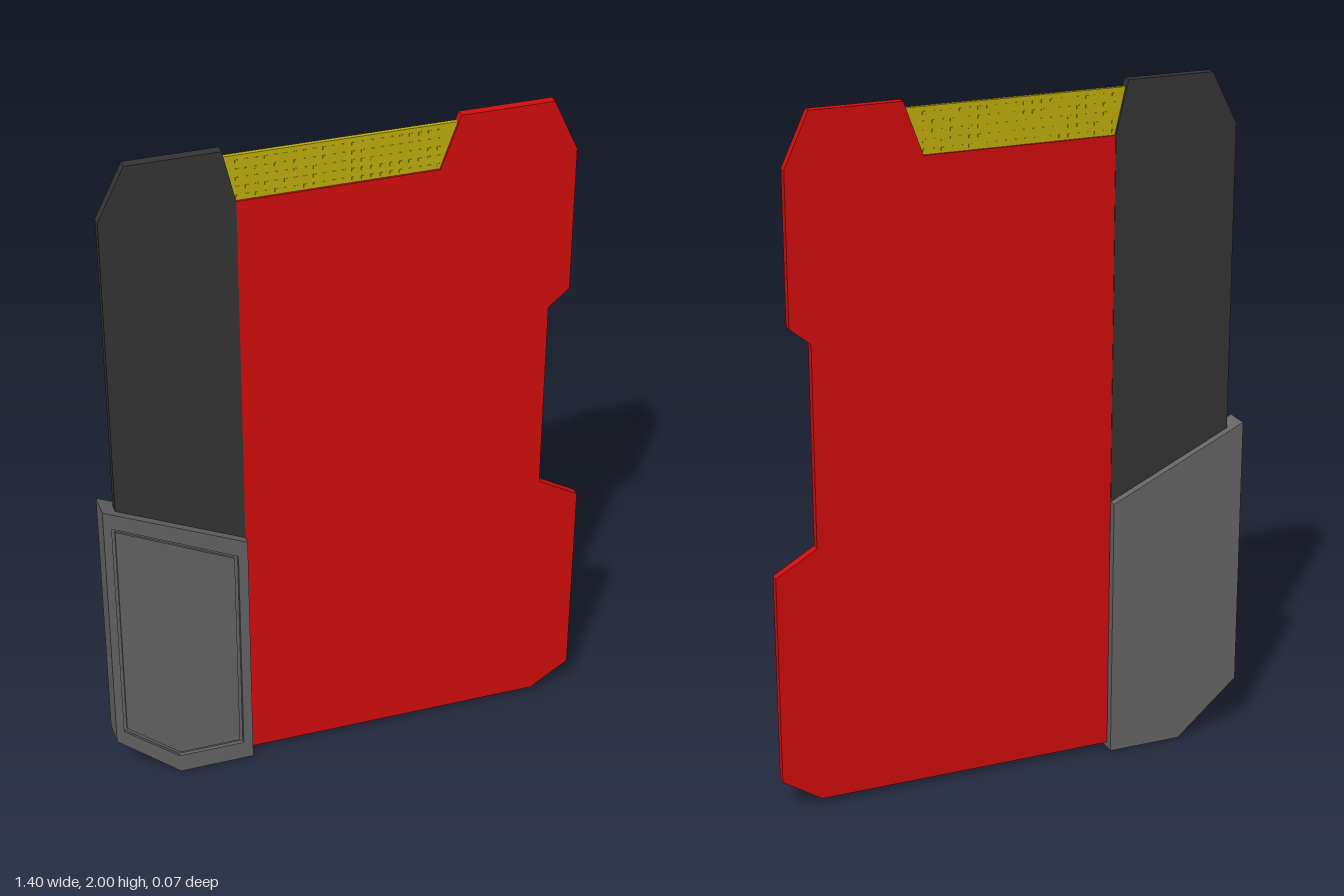
import * as THREE from 'three';
import { mergeGeometries } from 'three/addons/utils/BufferGeometryUtils.js';

const paint = (color) => new THREE.MeshStandardMaterial({ color });
const outline = (pts) => new THREE.Shape(pts.map(([x, y]) => new THREE.Vector2(x, y)));

// Flat plate cut from an outline, spanning z0..z1, with an optional hole
function plate(name, pts, z0, z1, material, hole) {
  const shape = outline(pts);
  if (hole) shape.holes.push(outline(hole));
  const geo = new THREE.ExtrudeGeometry(shape, { depth: z1 - z0, bevelEnabled: false });
  geo.translate(0, 0, z0);
  const mesh = new THREE.Mesh(geo, material);
  mesh.name = name;
  return mesh;
}

export function createModel() {
  const group = new THREE.Group();
  group.name = 'notchedCard';
  const red = paint(0xd40d0d), dark = paint(0x343434), grey = paint(0x666666), gold = paint(0xc0b00c);

  // Main notched board
  group.add(plate('board', [
    [-0.3, 0.02], [0.585, 0.02], [0.7, 0.095], [0.7, 0.715], [0.58, 0.785], [0.58, 1.37],
    [0.64, 1.42], [0.64, 1.85], [0.57, 2], [0.31, 2], [0.255, 1.85], [-0.3, 1.85],
  ], -0.0125, 0.0125, red));

  // Dark side strip, running down into the grip
  group.add(plate('sideStrip', [
    [-0.665, 0.6], [-0.3, 0.6], [-0.3, 1.85], [-0.335, 2], [-0.59, 2], [-0.665, 1.85],
  ], -0.014, 0.014, dark));

  // Grip: solid body, raised rim and an inset panel divided by a groove
  const outer = [[-0.705, 0.165], [-0.52, 0.003], [-0.3, 0.003], [-0.3, 0.785], [-0.705, 0.975]];
  const recess = [[-0.682, 0.196], [-0.522, 0.062], [-0.328, 0.062], [-0.328, 0.742], [-0.682, 0.916]];
  const inset = [[-0.672, 0.202], [-0.518, 0.072], [-0.338, 0.072], [-0.338, 0.735], [-0.672, 0.9]];
  const grip = new THREE.Group();
  grip.name = 'grip';
  grip.add(
    plate('gripBody', outer, -0.037, 0.026, grey),
    plate('gripRim', outer, 0.026, 0.037, grey, recess),
    plate('gripPanel', inset, 0.026, 0.033, grey),
  );
  group.add(grip);

  // Gold contact strip between the two top tabs
  group.add(plate('contactStrip', [
    [-0.302, 1.84], [0.255, 1.84], [0.303, 1.98], [-0.33, 1.98],
  ], -0.006, 0.006, gold));

  // Rows of tiny studs on both faces of the strip
  const studs = [];
  for (let row = 0; row < 5; row++) {
    for (let col = 0; col < 22; col++) {
      studs.push(new THREE.BoxGeometry(0.009, 0.009, 0.015)
        .translate(-0.295 + col * 0.026, 1.862 + row * 0.025, 0));
    }
  }
  const studMesh = new THREE.Mesh(mergeGeometries(studs), gold);
  studMesh.name = 'contactStuds';
  group.add(studMesh);

  return group;
}
